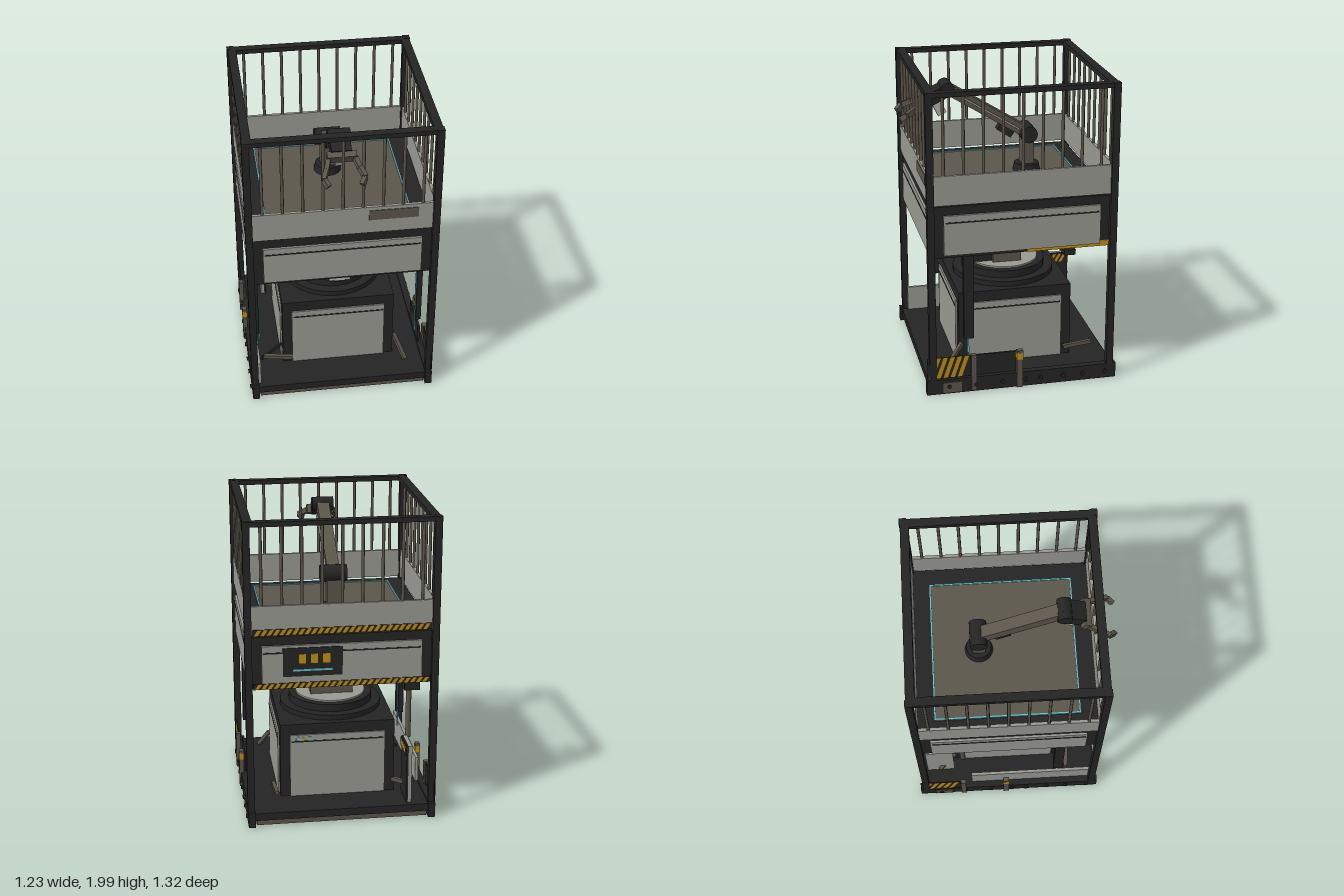
import * as THREE from 'three';

const mat = (name, color, extra = {}) => Object.assign(new THREE.MeshStandardMaterial({ color, ...extra }), { name });

export function createModel() {
  const model = new THREE.Group();
  model.name = 'robotCell';
  const dark = mat('darkSteel', 0x242424);
  const light = mat('lightPanel', 0x9a9a94);
  const brown = mat('bronzeMetal', 0x5c564a);
  const yellow = mat('warningYellow', 0xc0900f);
  const cyan = mat('cyanLight', 0x62c0cc);
  const grey = mat('paleGrey', 0xb4b4b4);
  const C = -0.03; // depth of the frame's centre

  const put = (parent, name, geo, m, x = 0, y = 0, z = 0) => {
    const mesh = new THREE.Mesh(geo, m);
    mesh.name = name;
    mesh.position.set(x, y, z);
    parent.add(mesh);
    return mesh;
  };
  // Box given by its limits on each axis
  const box = (parent, name, m, x0, x1, y0, y1, z0, z1) =>
    put(parent, name, new THREE.BoxGeometry(x1 - x0, y1 - y0, z1 - z0), m, (x0 + x1) / 2, (y0 + y1) / 2, (z0 + z1) / 2);
  // Square bar between two points
  const bar = (parent, name, m, a, b, w, h) => {
    const p = new THREE.Vector3(...a), q = new THREE.Vector3(...b);
    const mesh = put(parent, name, new THREE.BoxGeometry(w, h, p.distanceTo(q)), m);
    mesh.position.copy(p).add(q).multiplyScalar(0.5);
    mesh.lookAt(q);
    return mesh;
  };
  const axleX = (parent, name, m, r, len, x, y, z) => {
    const mesh = put(parent, name, new THREE.CylinderGeometry(r, r, len, 20), m, x, y, z);
    mesh.rotation.z = Math.PI / 2;
    return mesh;
  };
  // Dark plate facing +z with slanted yellow stripes
  const hazard = (parent, w, h, count, slant, x, y, z, turn = 0) => {
    const g = new THREE.Group();
    g.name = 'hazardPlate';
    put(g, 'plate', new THREE.BoxGeometry(w, h, 0.006), dark);
    const pitch = (w - slant) / count;
    for (let i = 0; i < count; i++) {
      const s = new THREE.Shape(), x0 = -w / 2 + (i + 0.2) * pitch, d = pitch * 0.6;
      s.moveTo(x0, -h / 2);
      s.lineTo(x0 + d, -h / 2);
      s.lineTo(x0 + d + slant, h / 2);
      s.lineTo(x0 + slant, h / 2);
      put(g, 'stripe', new THREE.ShapeGeometry(s), yellow, 0, 0, 0.0045);
    }
    g.position.set(x, y, z);
    g.rotation.y = turn;
    parent.add(g);
  };

  // Base: slabs, side skids and bolts
  box(model, 'baseUnderside', brown, -0.55, 0.55, 0.015, 0.05, C - 0.6, C + 0.6);
  box(model, 'baseDeck', dark, -0.58, 0.58, 0.05, 0.1, C - 0.61, C + 0.61);
  for (const s of [-1, 1]) {
    put(model, 'sideSkid', new THREE.BoxGeometry(0.045, 0.1, 1.25), dark, s * 0.58, 0.06, C);
    [0.45, 0.28, 0.1, -0.05, -0.15, -0.3, -0.43, -0.58].forEach((z) =>
      axleX(model, 'skidBolt', dark, 0.014, 0.02, s * 0.605, 0.06, s > 0 ? z : 2 * C - z));
    put(model, 'skidPlate', new THREE.BoxGeometry(0.008, 0.07, 0.12), brown, s * 0.605, 0.055, C + s * 0.46);
    // Kerb plate and stub posts, turned half round on the other side
    hazard(model, 0.28, 0.145, 5, 0.05, s * 0.596, 0.193, C + s * 0.48, s * Math.PI / 2);
    put(model, 'kerbPost', new THREE.BoxGeometry(0.03, 0.25, 0.035), brown, s * 0.6, 0.145, C + s * 0.32);
    put(model, 'markerPost', new THREE.BoxGeometry(0.03, 0.26, 0.04), brown, s * 0.6, 0.14, C + s * 0.02);
    put(model, 'markerBand', new THREE.BoxGeometry(0.034, 0.045, 0.044), yellow, s * 0.6, 0.23, C + s * 0.02);
  }
  box(model, 'rightSideKerb', dark, 0.56, 0.575, 0.1, 0.25, 0, 0.28);
  box(model, 'leftSideKerb', light, -0.56, -0.54, 0.1, 0.27, -0.29, 0.54);

  // Four sides of the frame, each built facing +z
  const sides = [0, 1, 2, 3].map((i) => {
    const g = new THREE.Group();
    g.name = ['frontSide', 'leftSide', 'backSide', 'rightSide'][i];
    g.position.z = C;
    g.rotation.y = i * Math.PI / 2;
    model.add(g);
    box(g, 'cornerPost', dark, 0.56, 0.605, 0.1, 2, 0.56, 0.605);
    box(g, 'topRail', dark, -0.57, 0.57, 1.968, 1.998, 0.545, 0.6);
    box(g, 'parapet', light, -0.56, 0.56, 1.284, 1.474, 0.57, 0.59);
    for (let k = -4; k <= 4; k++)
      put(g, 'railBar', new THREE.CylinderGeometry(0.01, 0.01, 0.5, 8), brown, k * 0.124, 1.72, 0.58);
    box(g, 'casingPanel', light, -0.5, 0.5, 0.955, 1.215, 0.57, 0.59);
    box(g, 'panelGroove', dark, -0.49, 0.49, 1.165, 1.174, 0.585, 0.593);
    // Pedestal panel below
    box(g, 'pedestalPanel', light, -0.31, 0.31, 0.1, 0.528, 0.37, 0.383);
    box(g, 'pedestalGroove', dark, -0.3, 0.3, 0.479, 0.488, 0.38, 0.386);
    bar(g, 'cornerBrace', brown, [0.375, 0.26, 0.375], [0.45, 0.1, 0.45], 0.025, 0.025);
    return g;
  });
  const [front, left, back] = sides;
  box(front, 'namePlate', brown, 0.16, 0.47, 1.38, 1.45, 0.587, 0.594);
  box(left, 'yellowStrip', yellow, 0.03, 0.56, 0.935, 0.972, 0.572, 0.58);
  hazard(back, 1.11, 0.04, 28, 0.025, 0, 1.306, 0.594);
  hazard(back, 1.11, 0.036, 28, 0.025, 0, 0.956, 0.594);
  // Control board and status lights on the back
  box(back, 'controlBoard', dark, -0.37, 0, 1.015, 1.2, 0.588, 0.597);
  for (const x of [-0.25, -0.175, -0.1]) box(back, 'controlKey', yellow, x - 0.022, x + 0.022, 1.1, 1.16, 0.595, 0.601);
  box(back, 'controlLight', cyan, -0.31, -0.06, 1.05, 1.062, 0.595, 0.601);
  [cyan, yellow, cyan].forEach((m, i) =>
    box(back, 'statusLight', m, -0.27 + i * 0.04, -0.25 + i * 0.04, 0.495, 0.515, 0.38, 0.388));

  // Upper casing, deck and glowing trim
  box(model, 'casing', dark, -0.575, 0.575, 0.935, 1.272, C - 0.575, C + 0.575);
  box(model, 'deckFloor', brown, -0.465, 0.465, 1.26, 1.286, C - 0.465, C + 0.465);
  for (const s of [-1, 1]) {
    put(model, 'deckTrim', new THREE.BoxGeometry(0.93, 0.008, 0.01), cyan, 0, 1.288, C + s * 0.461);
    put(model, 'deckTrim', new THREE.BoxGeometry(0.01, 0.008, 0.93), cyan, s * 0.461, 1.288, C);
  }

  // Pedestal, turntable and central column
  box(model, 'pedestal', dark, -0.373, 0.373, 0.1, 0.6, C - 0.373, C + 0.373);
  for (const [name, m, r, y0, y1] of [['lowerRing', dark, 0.335, 0.6, 0.635],
    ['upperRing', dark, 0.275, 0.635, 0.685], ['bearingRing', light, 0.23, 0.685, 0.696]])
    put(model, name, new THREE.CylinderGeometry(r, r, y1 - y0, 40), m, 0, (y0 + y1) / 2, C);
  box(model, 'column', brown, -0.14, 0.14, 0.69, 0.94, C - 0.095, C + 0.095);
  box(model, 'driveBox', dark, -0.105, 0.105, 0.69, 0.88, 0.06, 0.21);
  box(model, 'sensorMount', dark, -0.1, 0.1, 0.88, 0.94, 0.2, 0.36);
  box(model, 'sensorHead', grey, -0.068, 0.068, 0.81, 0.91, 0.35, 0.41);
  box(model, 'sensorSlot', dark, -0.035, 0.035, 0.795, 0.81, 0.355, 0.405);

  // Hanging guides with light strips
  for (const s of [-1, 1]) {
    put(model, 'hangingGuide', new THREE.BoxGeometry(0.034, 0.57, 0.065), dark, s * 0.546, 0.65, 0.312);
    put(model, 'guideLight', new THREE.BoxGeometry(0.008, 0.66, 0.012), cyan, s * 0.528, 0.58, 0.312);
  }

  // Rear cross beam with carriage, rod and cable
  box(model, 'crossBeam', dark, -0.56, 0.56, 0.88, 0.915, -0.38, -0.305);
  box(model, 'carriage', dark, -0.53, -0.43, 0.808, 0.882, -0.43, -0.25);
  put(model, 'carriageRod', new THREE.CylinderGeometry(0.018, 0.018, 0.37, 12), brown, -0.475, 0.635, -0.342);
  const cable = new THREE.CatmullRomCurve3([[-0.1, 0.92, -0.1], [-0.28, 0.905, -0.16], [-0.46, 0.86, -0.26]]
    .map((p) => new THREE.Vector3(...p)));
  put(model, 'cable', new THREE.TubeGeometry(cable, 12, 0.009, 6), dark);
  bar(model, 'floorCable', dark, [-0.52, 0.1, 0.3], [-0.38, 0.22, 0.3], 0.016, 0.016);

  // Rear guard plate
  box(model, 'guardPlate', light, -0.455, -0.432, 0.1, 0.49, -0.6, -0.41);
  box(model, 'guardBacking', dark, -0.432, -0.42, 0.1, 0.49, -0.6, -0.41);
  hazard(model, 0.18, 0.06, 4, 0.035, -0.417, 0.455, -0.505, Math.PI / 2);

  // Robot arm on the deck
  const arm = new THREE.Group();
  arm.name = 'robotArm';
  model.add(arm);
  put(arm, 'armFoot', new THREE.CylinderGeometry(0.08, 0.09, 0.05, 24), dark, 0, 1.31, -0.19);
  box(arm, 'armPedestal', brown, -0.045, 0.045, 1.3, 1.54, -0.23, -0.15);
  axleX(arm, 'shoulder', dark, 0.055, 0.17, 0, 1.54, -0.19);
  bar(arm, 'upperArm', brown, [0, 1.545, -0.18], [0, 1.865, 0.335], 0.08, 0.07);
  bar(arm, 'armMotor', dark, [0, 1.535, -0.09], [0, 1.595, 0.0], 0.06, 0.05);
  bar(arm, 'armConduit', light, [0.046, 1.575, -0.13], [0.046, 1.805, 0.24], 0.01, 0.012);
  axleX(arm, 'elbow', dark, 0.045, 0.14, 0, 1.868, 0.34);
  bar(arm, 'forearm', dark, [0, 1.875, 0.31], [0, 1.805, 0.455], 0.125, 0.08);
  bar(arm, 'forearmCounterweight', grey, [0, 1.785, 0.41], [0, 1.7, 0.37], 0.06, 0.06);
  bar(arm, 'gripperPalm', brown, [0, 1.81, 0.45], [0, 1.79, 0.49], 0.18, 0.06);
  for (const s of [-1, 1]) {
    const pts = [[0.08, 1.795, 0.48], [0.1, 1.765, 0.55], [0.125, 1.735, 0.61], [0.1, 1.705, 0.645]]
      .map(([x, y, z]) => [s * x, y, z]);
    for (let i = 0; i < 3; i++) bar(arm, 'gripperFinger', brown, pts[i], pts[i + 1], 0.028, 0.035);
  }
  return model;
}
